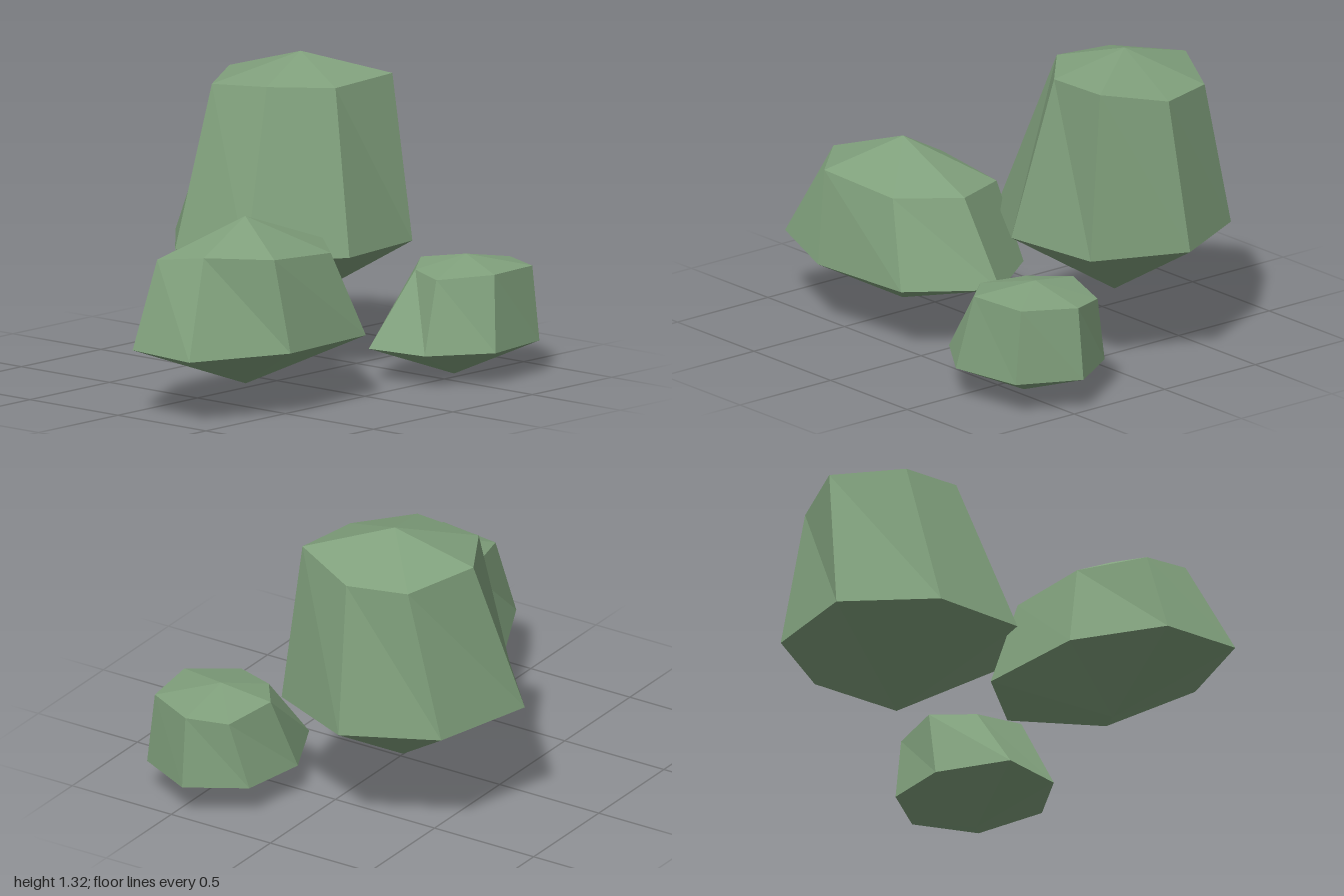
import * as THREE from 'three';

// A faceted rock: base point, flat lower ring, uneven upper ring and a peak.
// Rings run counter-clockwise seen from above; lower is [x, z], upper is [x, y, z].
function makeRock(name, material, { base, ringY, lower, upper, peak }) {
  const low = lower.map(([x, z]) => [x, ringY, z]);
  const n = low.length;
  const positions = [];
  const tri = (...corners) => corners.forEach((p) => positions.push(...p));
  for (let i = 0; i < n; i++) {
    const j = (i + 1) % n;
    tri(low[j], low[i], base); // underside
    tri(low[i], low[j], upper[i]); // wall
    tri(low[j], upper[j], upper[i]);
    tri(upper[i], upper[j], peak); // cap
  }
  const geometry = new THREE.BufferGeometry();
  geometry.setAttribute('position', new THREE.Float32BufferAttribute(positions, 3));
  geometry.computeVertexNormals(); // unshared corners give flat facets
  const mesh = new THREE.Mesh(geometry, material);
  mesh.name = name;
  return mesh;
}

export function createModel() {
  const stone = new THREE.MeshStandardMaterial({ color: 0x80a07c });
  stone.name = 'mossy green stone';

  const group = new THREE.Group();
  group.name = 'rockCluster';

  group.add(makeRock('tallRock', stone, {
    base: [0.37, 0.23, -0.255],
    ringY: 0.52,
    lower: [[0.235, 0.2], [0.69, 0.147], [0.865, -0.255], [0.67, -0.645],
      [0.21, -0.765], [-0.12, -0.47], [-0.145, -0.045]],
    upper: [[0.325, 1.215, 0.04], [0.655, 1.235, 0.065], [0.76, 1.17, -0.225], [0.685, 1.17, -0.487],
      [0.395, 1.215, -0.627], [0.1, 1.2, -0.46], [0.11, 1.225, -0.157]],
    peak: [0.435, 1.32, -0.257],
  }));

  group.add(makeRock('wideRock', stone, {
    base: [-0.445, 0.085, 0.225],
    ringY: 0.28,
    lower: [[-0.567, 0.59], [-0.06, 0.56], [0.19, 0.222], [-0.04, -0.1],
      [-0.567, -0.148], [-0.96, 0.047], [-1, 0.405]],
    upper: [[-0.6, 0.678, 0.527], [-0.2, 0.645, 0.487], [0, 0.65, 0.26], [-0.11, 0.64, -0.01],
      [-0.49, 0.67, -0.03], [-0.82, 0.65, 0.06], [-0.8, 0.687, 0.307]],
    peak: [-0.445, 0.805, 0.222],
  }));

  group.add(makeRock('smallRock', stone, {
    base: [0.615, 0, 0.452],
    ringY: 0.14,
    lower: [[0.535, 0.76], [0.866, 0.71], [0.998, 0.447], [0.85, 0.205],
      [0.555, 0.154], [0.25, 0.297], [0.283, 0.585]],
    upper: [[0.588, 0.462, 0.705], [0.86, 0.458, 0.675], [0.968, 0.452, 0.45], [0.893, 0.437, 0.28],
      [0.663, 0.465, 0.22], [0.495, 0.45, 0.34], [0.42, 0.44, 0.527]],
    peak: [0.69, 0.505, 0.453],
  }));

  return group;
}
